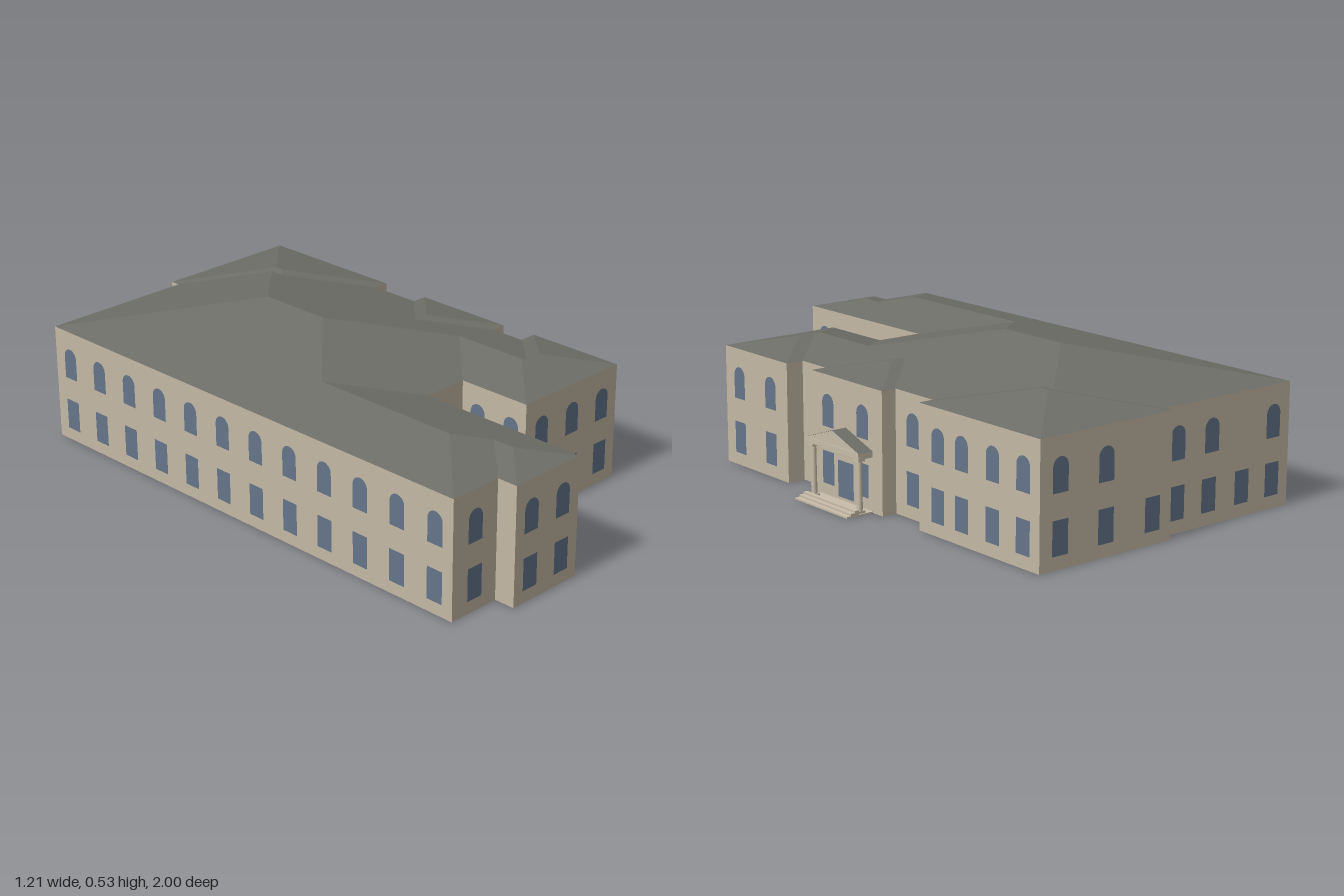
import * as THREE from 'three';

const EAVE = 0.415, SLOPE = 0.21;

const mat = (name, color, side = THREE.FrontSide) =>
  Object.assign(new THREE.MeshStandardMaterial({ color, side }), { name });

// Footprint (x, z), from the back left corner round by the entrance side
const PLAN = [
  [-0.605, -0.965], [-0.04, -0.965], [-0.04, -1], [0.5, -1], [0.5, -0.43], [0.445, -0.43],
  [0.445, -0.24], [0.5, -0.24], [0.5, 0.14], [0.445, 0.14], [0.445, 0.27], [0.51, 0.27],
  [0.51, 0.637], [0.05, 0.637], [0.05, 0.36], [-0.12, 0.36], [-0.12, 1], [-0.41, 1],
  [-0.41, 0.925], [-0.605, 0.925],
];

// Flat-shaded geometry from polygons, each fanned into triangles
function facesGeometry(polys) {
  const pos = [];
  for (const p of polys)
    for (let i = 1; i < p.length - 1; i++) pos.push(...p[0], ...p[i], ...p[i + 1]);
  const g = new THREE.BufferGeometry();
  g.setAttribute('position', new THREE.Float32BufferAttribute(pos, 3));
  g.computeVertexNormals();
  return g;
}

// Hipped roof over a rectangle; the ridge follows the longer side
function hipRoof(x0, x1, z0, z1) {
  const s = Math.min(x1 - x0, z1 - z0) / 2, y = EAVE + s * SLOPE;
  const A = [x0, EAVE, z1], B = [x1, EAVE, z1], C = [x1, EAVE, z0], D = [x0, EAVE, z0];
  const P = [x0 + s, y, z0 + s], Q = [x1 - s, y, z1 - s];
  return facesGeometry(x1 - x0 <= z1 - z0
    ? [[A, B, Q], [B, C, P, Q], [C, D, P], [D, A, Q, P]]
    : [[A, B, Q, P], [B, C, Q], [C, D, P, Q], [D, A, P]]);
}

function paneShape(w, h, arched) {
  const s = new THREE.Shape(), r = w / 2;
  s.moveTo(-r, 0);
  s.lineTo(r, 0);
  if (arched) {
    s.lineTo(r, h - r);
    s.absarc(0, h - r, r, 0, Math.PI, false);
  } else {
    s.lineTo(r, h);
    s.lineTo(-r, h);
  }
  s.closePath();
  return new THREE.ShapeGeometry(s, 8);
}

export function createModel() {
  const model = new THREE.Group();
  const stone = mat('stone wall', 0xc4b8a4, THREE.DoubleSide);
  const slate = mat('slate roof', 0x6e6f68, THREE.DoubleSide);
  const glass = mat('window glass', 0x64758a);
  const trim = mat('portico stone', 0xc9bda9);

  const add = (name, geo, material, x = 0, y = 0, z = 0, parent = model) => {
    const m = new THREE.Mesh(geo, material);
    m.name = name;
    m.position.set(x, y, z);
    parent.add(m);
    return m;
  };

  // Walls
  add('walls', facesGeometry(PLAN.map(([px, pz], i) => {
    const [qx, qz] = PLAN[(i + 1) % PLAN.length];
    return [[qx, 0, qz], [px, 0, pz], [px, EAVE, pz], [qx, EAVE, qz]];
  })), stone);

  // Ceiling closing the roof space
  const ceiling = new THREE.ShapeGeometry(
    new THREE.Shape(PLAN.map(([x, z]) => new THREE.Vector2(x, -z))));
  ceiling.rotateX(-Math.PI / 2);
  add('ceiling', ceiling, slate, 0, EAVE - 0.001, 0);

  // Equal-pitch hipped roofs that merge into one another
  const roofs = {
    mainRoof: [-0.605, 0.445, -0.965, 0.36],
    longWingRoof: [-0.605, -0.12, -0.965, 0.925],
    longWingBayRoof: [-0.41, -0.12, -0.9, 1],
    shortWingRoof: [0.05, 0.445, -0.9, 0.637],
    shortWingBayRoof: [0.05, 0.51, 0.27, 0.637],
    entranceBayRoof: [-0.6, 0.5, -0.24, 0.14],
    backBayRoof: [-0.04, 0.5, -1, -0.43],
  };
  for (const [name, r] of Object.entries(roofs)) add(name, hipRoof(...r), slate);

  // Windows: [facing, wall plane, lower positions, upper positions (default: same)]
  const lowerPane = paneShape(0.063, 0.112, false);
  const upperPane = paneShape(0.062, 0.112, true);
  const westRow = Array.from({ length: 12 }, (_, i) => -0.885 + i * 0.158);
  const rows = [
    ['front', 0.925, [-0.508]],
    ['front', 1, [-0.34, -0.195]],
    ['front', 0.36, [-0.035], []],
    ['front', 0.637, [0.127, 0.28, 0.433]],
    ['left', -0.12, [0.92, 0.76, 0.6, 0.44]],
    ['left', 0.51, [0.553, 0.367]],
    ['left', 0.5, [0.05, -0.137, -0.525, -0.64, -0.787, -0.927]],
    ['left', 0.445, [-0.33]],
    ['back', -1, [0.42, 0.235, 0.04], [0.42, 0.235]],
    ['back', -0.965, [-0.1, -0.24, -0.39, -0.53], [-0.1, -0.25, -0.53]],
    ['right', -0.605, westRow],
    ['right', 0.05, [0.43, 0.575]],
  ];
  const turn = { front: 0, left: Math.PI / 2, back: Math.PI, right: -Math.PI / 2 };
  const addPane = (name, geo, facing, plane, at, y) => {
    const p = plane + (facing === 'front' || facing === 'left' ? 0.002 : -0.002);
    const alongX = facing === 'front' || facing === 'back';
    add(name, geo, glass, alongX ? at : p, y, alongX ? p : at).rotation.y = turn[facing];
  };
  for (const [facing, plane, lower, upper = lower] of rows) {
    for (const at of lower) addPane('lowerWindow', lowerPane, facing, plane, at, 0.044);
    for (const at of upper) addPane('upperWindow', upperPane, facing, plane, at, 0.239);
  }
  addPane('door', paneShape(0.085, 0.125, false), 'left', 0.5, -0.045, 0.015);

  // Entrance portico
  const portico = new THREE.Group();
  portico.name = 'portico';
  portico.position.set(0, 0, -0.045);
  model.add(portico);
  const box = (name, x0, x1, y0, y1, z0, z1) =>
    add(name, new THREE.BoxGeometry(x1 - x0, y1 - y0, z1 - z0), trim,
      (x0 + x1) / 2, (y0 + y1) / 2, (z0 + z1) / 2, portico);

  box('porchFloor', 0.5, 0.556, 0, 0.005, -0.143, 0.143);
  [0.02, 0.013, 0.006].forEach((h, i) =>
    box('step', 0.556 + i * 0.016, 0.572 + i * 0.0165, 0, h, -0.143, 0.143));

  const shaft = new THREE.CylinderGeometry(0.0085, 0.0105, 0.166, 16);
  for (const s of [-1, 1]) {
    const z = s * 0.125;
    add('column', shaft, trim, 0.54, 0.095, z, portico);
    box('columnBase', 0.527, 0.553, 0.004, 0.013, z - 0.013, z + 0.013);
    box('columnCapital', 0.527, 0.553, 0.177, 0.186, z - 0.013, z + 0.013);
    box('sideBeam', 0.5, 0.555, 0.186, 0.206, z - 0.018, z + 0.018);
  }
  box('frontBeam', 0.53, 0.555, 0.188, 0.206, -0.12, 0.12);

  // Pediment and its gabled roof
  const gable = new THREE.Shape([[-0.143, 0.206], [0.143, 0.206], [0, 0.252]]
    .map(p => new THREE.Vector2(...p)));
  const pediment = new THREE.ExtrudeGeometry(gable, { depth: 0.008, bevelEnabled: false });
  pediment.rotateY(Math.PI / 2);
  add('pediment', pediment, trim, 0.544, 0, 0, portico);
  const slopeFace = s => {
    const f = [[0.5, 0.206, s * 0.145], [0.556, 0.206, s * 0.145], [0.556, 0.256, 0], [0.5, 0.256, 0]];
    return s > 0 ? f : f.reverse();
  };
  add('porticoRoof', facesGeometry([slopeFace(1), slopeFace(-1)]), slate, 0, 0, 0, portico);

  // Raking mouldings along the pediment edge
  for (const s of [-1, 1]) {
    const rake = add('rakingMoulding', new THREE.BoxGeometry(0.006, 0.007, 0.15), trim,
      0.554, 0.227, s * 0.0715, portico);
    rake.rotation.x = s * Math.atan2(0.05, 0.145);
  }
  return model;
}
